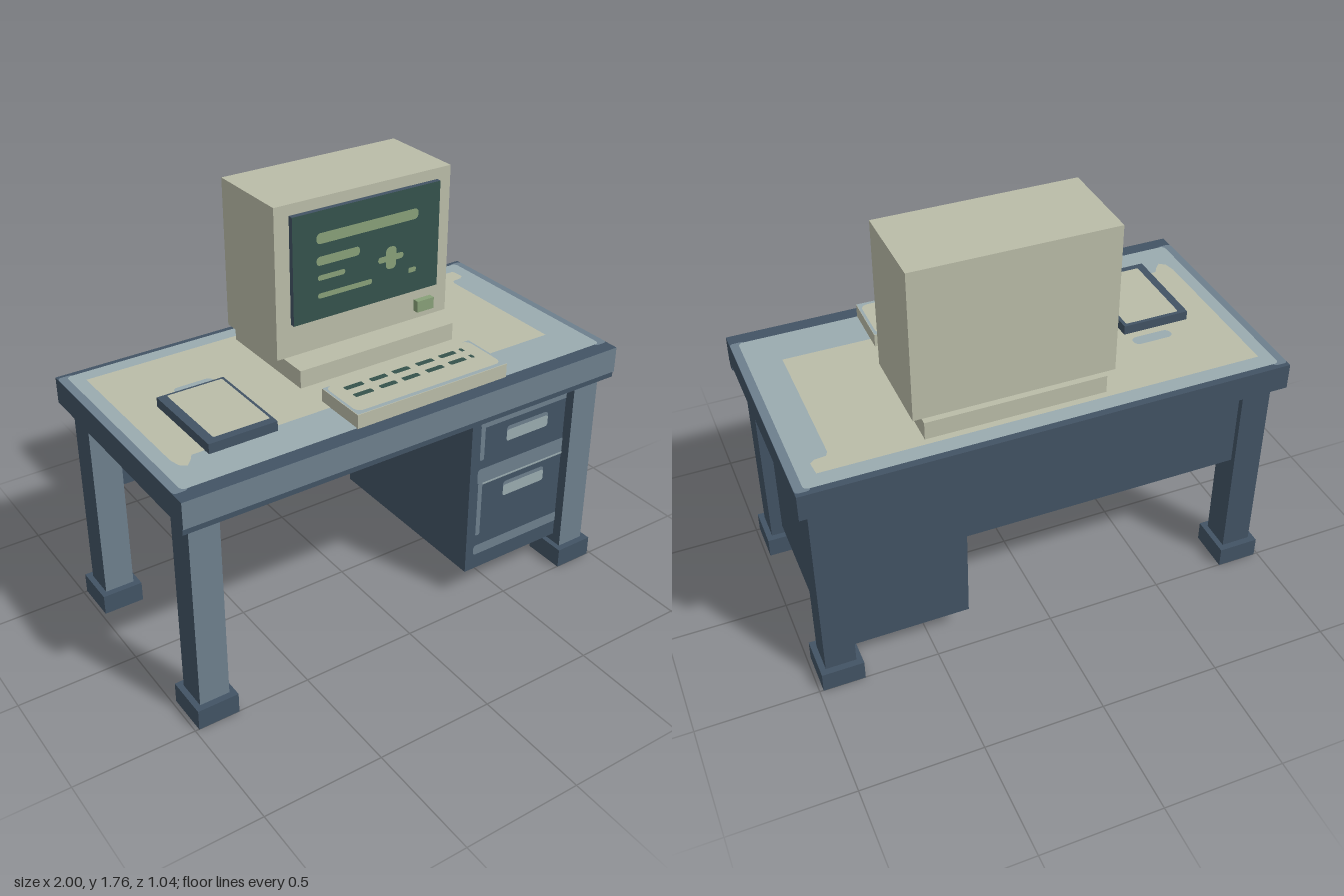
import * as THREE from 'three';

const paint = (name, color) => {
  const m = new THREE.MeshStandardMaterial({ color });
  m.name = name;
  return m;
};

export function createModel() {
  const slate = paint('dark slate', 0x425364);
  const steel = paint('steel blue', 0x6d7f8d);
  const mist = paint('pale blue', 0x9aabaf);
  const beige = paint('beige', 0xbabca8);
  const glass = paint('screen green', 0x35524c);
  const glow = paint('soft green', 0x88a078);

  const root = new THREE.Group();
  root.name = 'computerDesk';

  // Box given by its limits; an optional second material covers the front face
  const box = (name, mat, x0, x1, y0, y1, z0, z1, front) => {
    const geo = new THREE.BoxGeometry(x1 - x0, y1 - y0, z1 - z0);
    const mesh = new THREE.Mesh(geo, front ? [mat, mat, mat, mat, front, mat] : mat);
    mesh.position.set((x0 + x1) / 2, (y0 + y1) / 2, (z0 + z1) / 2);
    mesh.name = name;
    root.add(mesh);
    return mesh;
  };

  // Rounded rectangle outline
  const rounded = (x0, x1, y0, y1, r) => {
    const s = new THREE.Shape();
    s.absarc(x1 - r, y1 - r, r, 0, Math.PI / 2);
    s.absarc(x0 + r, y1 - r, r, Math.PI / 2, Math.PI);
    s.absarc(x0 + r, y0 + r, r, Math.PI, Math.PI * 1.5);
    s.absarc(x1 - r, y0 + r, r, Math.PI * 1.5, Math.PI * 2);
    return s;
  };

  // Painted faces: one facing the front, one facing up
  const face = (name, mat, shape) => {
    const mesh = new THREE.Mesh(new THREE.ShapeGeometry(shape, 4), mat);
    mesh.name = name;
    root.add(mesh);
    return mesh;
  };
  const frontPaint = (name, mat, x0, x1, y0, y1, z, r = 0.008) => {
    face(name, mat, rounded(x0, x1, y0, y1, r)).position.z = z;
  };
  const topShape = (name, mat, shape, y) => {
    const mesh = face(name, mat, shape);
    mesh.rotation.x = -Math.PI / 2;
    mesh.position.y = y;
  };
  const topPaint = (name, mat, x0, x1, z0, z1, y, r = 0.008) =>
    topShape(name, mat, rounded(x0, x1, -z1, -z0, r), y);

  // Tabletop with its front lip
  const top = 1.046;
  box('tabletop', slate, -1, 1, 0.935, top, -0.522, 0.522, steel);
  box('frontLip', slate, -1, 1, 0.908, 0.935, 0.48, 0.515);

  // Worn paint on the tabletop
  for (const s of [-1, 1]) {
    topPaint('sideBorder', steel, s < 0 ? -0.999 : 0.94, s < 0 ? -0.94 : 0.999, -0.505, 0.465, top + 0.0015, 0.015);
  }
  topPaint('paleBorder', mist, -0.965, 0.965, -0.495, 0.457, top + 0.003, 0.02);
  const pad = new THREE.Shape([
    [-0.91, 0.43], [0.9, 0.43], [0.905, 0.37], [0.885, 0.355], [0.84, 0.35], [0.83, 0.33],
    [0.83, -0.28], [-0.83, -0.28], [-0.85, -0.31], [-0.875, -0.335], [-0.9, -0.315], [-0.91, -0.27],
  ].map(([x, y]) => new THREE.Vector2(x, y)).reverse());
  topShape('deskSurface', beige, pad, top + 0.0045);
  topPaint('wornPatch', mist, -0.67, -0.5, -0.175, -0.125, top + 0.006, 0.024);
  topPaint('wornPatch', mist, 0.3, 0.44, 0.155, 0.205, top + 0.006, 0.024);

  // Legs and feet
  for (const sx of [-1, 1]) {
    for (const sz of [-1, 1]) {
      const x = sx * 0.897, z = sz * 0.409;
      box('leg', slate, x - 0.063, x + 0.063, 0.085, 0.915, z - 0.065, z + 0.065, steel);
      box('foot', slate, x - 0.087, x + 0.087, 0, 0.088, z - 0.093, z + 0.093);
    }
  }

  // Back panel and drawer pedestal
  box('backPanel', slate, -0.86, 0.86, 0.556, 0.935, -0.45, -0.38);
  box('drawerPedestal', slate, 0.337, 0.91, 0.128, 0.924, -0.43, 0.43);

  // Drawer trim and handles
  const dz = 0.432;
  frontPaint('drawerTrim', steel, 0.38, 0.89, 0.82, 0.885, dz, 0.015);
  frontPaint('drawerTrim', steel, 0.38, 0.402, 0.67, 0.87, dz + 0.0015);
  frontPaint('drawerTrim', steel, 0.375, 0.89, 0.555, 0.627, dz, 0.015);
  frontPaint('drawerTrim', steel, 0.38, 0.402, 0.3, 0.57, dz + 0.0015);
  frontPaint('drawerTrim', steel, 0.375, 0.89, 0.2, 0.247, dz, 0.015);
  frontPaint('drawerHighlight', mist, 0.4, 0.89, 0.55, 0.56, dz + 0.003, 0.004);
  for (const y of [0.72, 0.452]) {
    frontPaint('handleEdge', steel, 0.515, 0.735, y + 0.03, y + 0.07, dz + 0.0015, 0.015);
    frontPaint('handle', mist, 0.515, 0.735, y, y + 0.053, dz + 0.003, 0.012);
  }

  // Computer base and monitor
  box('computerBase', beige, -0.255, 0.482, top, 1.126, -0.402, 0.096);
  box('monitorCase', beige, -0.295, 0.52, 1.137, 1.765, -0.388, -0.008);
  box('screen', slate, -0.23, 0.455, 1.275, 1.72, -0.012, 0.014, glass);
  box('powerButton', glow, 0.358, 0.44, 1.175, 1.224, -0.012, 0.019);

  // Marks on the screen
  const marks = [
    [-0.125, 0.35, 1.588, 1.632, 0.018], [-0.125, 0.073, 1.5, 1.537, 0.015],
    [-0.12, 0.005, 1.438, 1.46, 0.01], [-0.12, 0.132, 1.363, 1.385, 0.01],
    [0.308, 0.345, 1.363, 1.385, 0.006],
    [0.16, 0.282, 1.438, 1.464, 0.012],
  ];
  for (const [x0, x1, y0, y1, r] of marks) frontPaint('screenMark', glow, x0, x1, y0, y1, 0.016, r);
  frontPaint('screenMark', glow, 0.196, 0.246, 1.405, 1.5, 0.0175, 0.02);

  // Keyboard with two rows of keys
  box('keyboard', beige, -0.24, 0.465, top, 1.105, 0.223, 0.46);
  topPaint('keyboardEdge', mist, -0.239, 0.464, 0.224, 0.459, 1.1065, 0.002);
  topPaint('keyboardFace', beige, -0.229, 0.453, 0.226, 0.442, 1.108, 0.03);
  const keys = [[-0.174, -0.09], [-0.056, 0.02], [0.05, 0.127], [0.163, 0.243], [0.275, 0.352], [0.377, 0.393]];
  for (const z of [0.277, 0.341]) {
    for (const [x0, x1] of keys) topPaint('key', glass, x0, x1, z - 0.013, z + 0.013, 1.1095, 0.006);
  }

  // Notebook
  box('notebook', slate, -0.776, -0.49, top, 1.09, -0.09, 0.31);
  topPaint('notebookPage', beige, -0.74, -0.503, -0.077, 0.28, 1.092, 0.008);

  return root;
}
